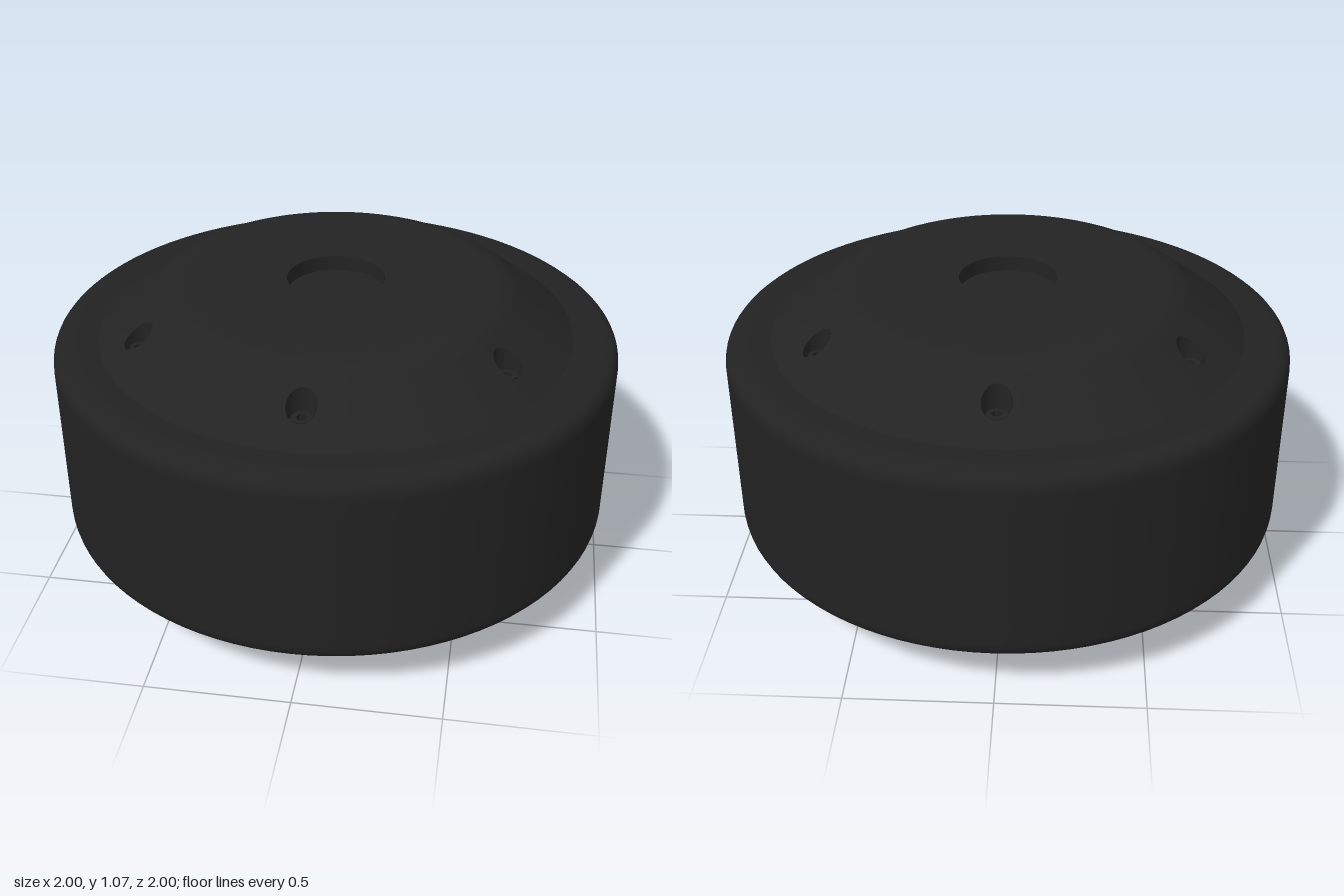
import * as THREE from 'three';

const SEG = 96;          // segments around the wheel
const MID = 0.535;       // height of the wheel's middle plane
const HALF = 0.533;      // middle plane to hub face
const BOLTS = 6, BOLT_R = 0.715, HOLE_R = 0.05, FLOOR = 0.375;
const R_IN = 0.64, R_OUT = 0.842, SLOPE = 0.74;
const coneY = r => 0.35 + SLOPE * (0.84 - r);

const rubber = new THREE.MeshStandardMaterial({ color: 0x222222 });
rubber.name = 'black rubber';
const plastic = new THREE.MeshStandardMaterial({ color: 0x232323 });
plastic.name = 'black plastic';

function mesh(geometry, material, name, parent) {
  const m = new THREE.Mesh(geometry, material);
  m.name = name;
  parent.add(m);
  return m;
}

function lathe(points, material, name, parent) {
  const pts = points.map(p => new THREE.Vector2(p[0], p[1]));
  return mesh(new THREE.LatheGeometry(pts, SEG), material, name, parent);
}

// Quadratic curve through corner b, used for rounded edges
function round(a, b, c, n = 8) {
  const v = p => new THREE.Vector2(p[0], p[1]);
  return new THREE.QuadraticBezierCurve(v(a), v(b), v(c)).getPoints(n).map(p => [p.x, p.y]);
}

// Surface from a grid of points; fn(i, j) returns { p, n }
function grid(rows, cols, fn) {
  const pos = [], nor = [], idx = [];
  for (let i = 0; i <= rows; i++) for (let j = 0; j <= cols; j++) {
    const { p, n } = fn(i, j);
    pos.push(...p);
    nor.push(...n);
    if (i < rows && j < cols) {
      const a = i * (cols + 1) + j, c = a + cols + 1;
      idx.push(a, a + 1, c, a + 1, c + 1, c);
    }
  }
  const g = new THREE.BufferGeometry();
  g.setAttribute('position', new THREE.Float32BufferAttribute(pos, 3));
  g.setAttribute('normal', new THREE.Float32BufferAttribute(nor, 3));
  g.setIndex(idx);
  return g;
}

// Outline of one 60 degree cone sector, walked in 48 steps, as [arc, radius offset]
const U = BOLT_R * Math.PI / BOLTS, V0 = R_IN - BOLT_R, V1 = R_OUT - BOLT_R;
function sectorEdge(j) {
  j %= 48;
  if (j < 8) return [U, V0 + (V1 - V0) * j / 8];
  if (j < 24) return [U - 2 * U * (j - 8) / 16, V1];
  if (j < 32) return [-U, V1 + (V0 - V1) * (j - 24) / 8];
  return [-U + 2 * U * (j - 32) / 16, V0];
}
const holeAngle = j => -Math.PI / 6 + j * Math.PI / 24;
const holePoint = j => [HOLE_R * Math.cos(holeAngle(j)), HOLE_R * Math.sin(holeAngle(j))];

function coneSector() {
  return grid(5, 48, (i, j) => {
    const h = holePoint(j), e = sectorEdge(j), t = i / 5;
    const theta = (h[0] + (e[0] - h[0]) * t) / BOLT_R;
    const r = BOLT_R + h[1] + (e[1] - h[1]) * t;
    const s = Math.sin(theta), c = Math.cos(theta), k = Math.hypot(1, SLOPE);
    return { p: [r * s, coneY(r), r * c], n: [SLOPE * s / k, 1 / k, SLOPE * c / k] };
  });
}

function holeWall() {
  return grid(1, 48, (i, j) => {
    const [u, v] = holePoint(j), r = BOLT_R + v, theta = u / BOLT_R, a = holeAngle(j);
    return {
      p: [r * Math.sin(theta), i ? coneY(r) : FLOOR, r * Math.cos(theta)],
      n: [-Math.cos(a), 0, -Math.sin(a)],
    };
  });
}

// Bolt head with a hexagonal socket
function boltHead() {
  const shape = new THREE.Shape().absarc(0, 0, 0.034, 0, Math.PI * 2);
  const hex = [];
  for (let k = 0; k < 6; k++) {
    const a = k * Math.PI / 3;
    hex.push(new THREE.Vector2(0.019 * Math.cos(a), 0.019 * Math.sin(a)));
  }
  shape.holes.push(new THREE.Path(hex));
  return new THREE.ExtrudeGeometry(shape, { depth: 0.025, bevelEnabled: false, curveSegments: 16 })
    .rotateX(-Math.PI / 2);
}

// One hub face: flat centre, rounded shoulder, cone with bolt holes
function hubSide(name, recessed) {
  const side = new THREE.Group();
  side.name = name;
  const ctrl = 0.84 - (HALF - 0.35) / SLOPE;
  const rim = recessed ? 0.172 : 0;
  lathe([...round([R_IN, coneY(R_IN)], [ctrl, HALF], [0.53, HALF]), [0.4, HALF], [rim, HALF]],
    plastic, 'hubFace', side);
  if (recessed) {
    lathe([[rim, HALF], [rim, HALF - 0.055]], plastic, 'axleRecessWall', side);
    lathe([[rim, HALF - 0.055], [0, HALF - 0.055]], plastic, 'axleRecessFloor', side);
  }
  const cone = coneSector(), wall = holeWall(), head = boltHead();
  const floor = new THREE.CircleGeometry(HOLE_R + 0.002, 32).rotateX(-Math.PI / 2);
  for (let k = 0; k < BOLTS; k++) {
    const sector = new THREE.Group();
    sector.name = 'boltSector';
    sector.rotation.y = k * Math.PI * 2 / BOLTS;
    side.add(sector);
    mesh(cone, plastic, 'hubCone', sector);
    mesh(wall, plastic, 'boltHoleWall', sector);
    mesh(floor, plastic, 'boltHoleFloor', sector).position.set(0, FLOOR, BOLT_R);
    mesh(head, plastic, 'boltHead', sector).position.set(0, FLOOR, BOLT_R);
  }
  return side;
}

export function createModel() {
  const wheel = new THREE.Group();
  wheel.name = 'wheel';
  const body = new THREE.Group();
  body.name = 'wheelBody';
  body.position.y = MID;
  wheel.add(body);

  // Wide tyre with rounded shoulders
  const h = 0.35, f = 0.065;
  lathe([
    [0.82, -h], [0.9, -h],
    ...round([1 - f, -h], [1, -h], [1, -h + f]),
    [1, -0.2], [1, 0.2],
    ...round([1, h - f], [1, h], [1 - f, h]),
    [0.9, h], [0.82, h],
  ], rubber, 'tyre', body);

  // Upper hub has the axle recess, lower hub is plain
  body.add(hubSide('upperHub', true));
  const lower = hubSide('lowerHub', false);
  lower.rotation.x = Math.PI;
  body.add(lower);
  body.position.y = HALF;
  return wheel;
}
